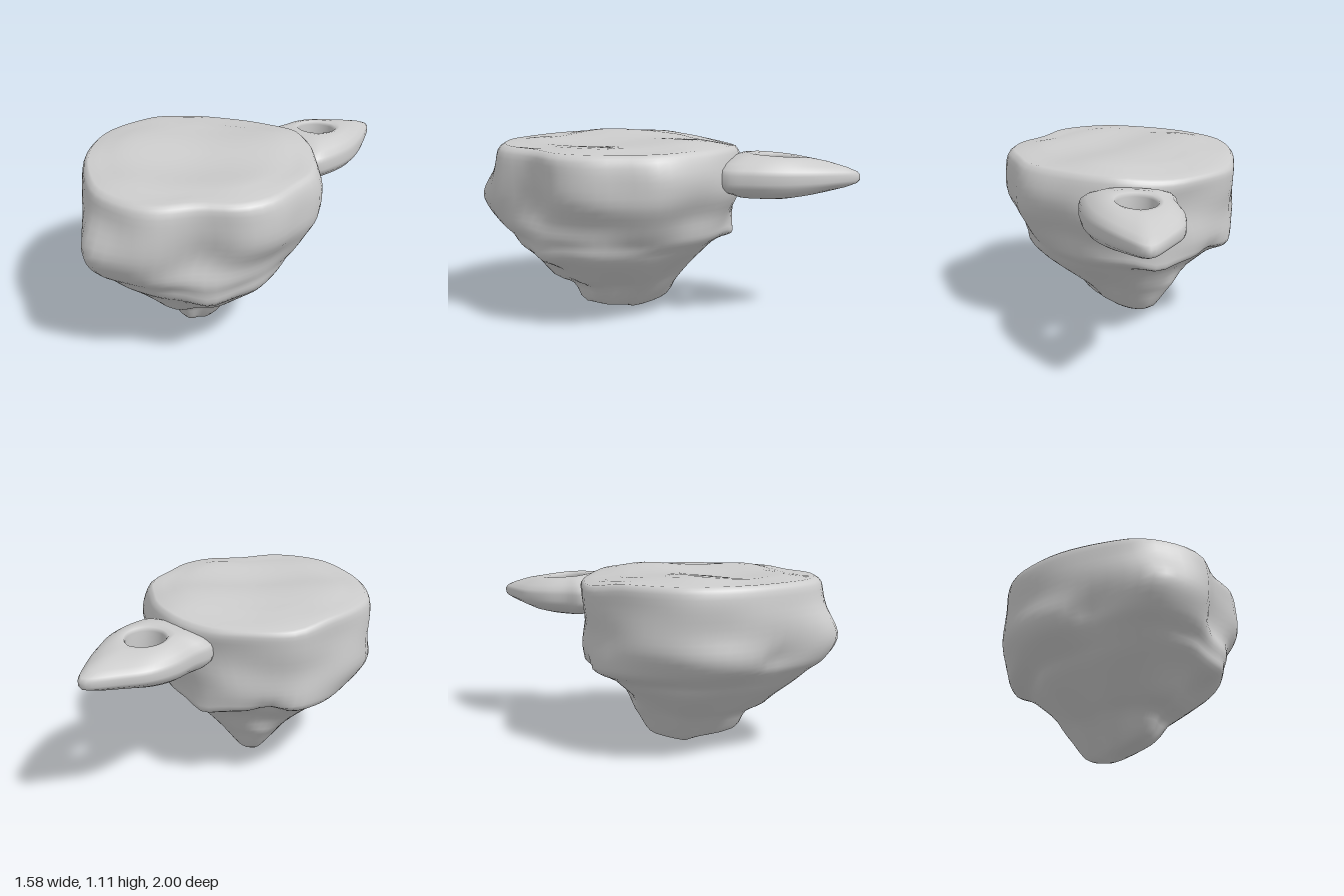
import * as THREE from 'three';

const { smoothstep, clamp, lerp, mapLinear } = THREE.MathUtils;
const v3 = (p) => new THREE.Vector3(...p);

// Rim of the island seen from above, as [x, z]
const RIM = [
  [0.15, -0.5], [0.4, -0.38], [0.54, -0.2], [0.61, 0], [0.65, 0.15], [0.655, 0.28], [0.59, 0.45],
  [0.51, 0.64], [0.36, 0.77], [0.12, 0.82], [-0.1, 0.9], [-0.3, 0.88], [-0.47, 0.8],
  [-0.59, 0.66], [-0.72, 0.42], [-0.77, 0.2], [-0.76, 0], [-0.66, -0.2],
  [-0.5, -0.38], [-0.33, -0.5], [0, -0.52],
];

// Extents of the rock at each height: [y, xMin, xMax, zMin, zMax]
const ROWS = [
  [0.0, -0.07, -0.07, 0.13, 0.13],
  [0.03, -0.12, 0.0, 0.02, 0.22],
  [0.08, -0.17, 0.07, -0.1, 0.45],
  [0.2, -0.28, 0.18, -0.17, 0.52],
  [0.27, -0.37, 0.26, -0.22, 0.65],
  [0.4, -0.54, 0.42, -0.31, 0.77],
  [0.47, -0.6, 0.48, -0.38, 0.84],
  [0.53, -0.68, 0.52, -0.49, 0.86],
  [0.59, -0.74, 0.55, -0.5, 0.89],
  [0.68, -0.78, 0.59, -0.5, 0.89],
  [0.8, -0.78, 0.66, -0.5, 0.9],
  [0.93, -0.78, 0.67, -0.51, 0.91],
  [1.04, -0.77, 0.64, -0.52, 0.92],
  [1.08, -0.74, 0.6, -0.5, 0.88],
];

// Lobes and dents: centre, radius, push direction
const LOBES = [
  [[-0.5, 0.74, 0.78], 0.2, [-0.02, 0, 0.15]],
  [[-0.17, 0.78, 0.9], 0.24, [0, 0, 0.09]],
  [[0.13, 0.46, 0.76], 0.12, [0.02, -0.03, 0.05]],
  [[-0.15, 0.36, 0.7], 0.13, [0, 0, -0.03]],
  [[0.14, 0.75, 0.82], 0.12, [0, 0, -0.02]],
  [[-0.64, 0.64, 0.55], 0.08, [0.03, 0, -0.02]],
  [[0.2, 0.54, -0.45], 0.11, [0.01, -0.04, -0.02]],
  [[0.1, 0.38, -0.28], 0.14, [-0.02, 0, 0.04]],
  [[-0.2, 0.5, -0.45], 0.09, [0, 0.02, 0.07]],
  [[-0.17, 0.36, -0.25], 0.1, [0, 0, 0.05]],
].map(([c, r, d]) => ({ c: v3(c), r, d: v3(d) }));

function rockPoint(p) {
  const src = p.clone();
  for (const { c, r, d } of LOBES) p.addScaledVector(d, Math.exp(-src.distanceToSquared(c) / (r * r)));
  // gentle weathering, fading toward the tip and rim
  const a = Math.atan2(src.z - 0.2, src.x + 0.06);
  const w = 0.009 * Math.sin(Math.PI * clamp(src.y / 1.08, 0, 1));
  const n = Math.sin(a * 7 + src.y * 9) + Math.sin(a * 4 - src.y * 17);
  p.x += Math.cos(a) * n * w;
  p.z += Math.sin(a) * n * w;
  // the rim dips a little at the back
  p.y -= 0.035 * smoothstep(-src.z, 0.3, 0.52) * smoothstep(src.y, 0.9, 1.08);
  return p;
}

// Rows of points, each a closed ring of seg points, joined into a skin
function ringSkin(pos, seg, rows, closed) {
  const index = [];
  for (let j = 0; j < (closed ? rows : rows - 1); j++) {
    for (let i = 0; i < seg; i++) {
      const n = (i + 1) % seg, up = ((j + 1) % rows) * seg;
      const a = j * seg + i, b = j * seg + n, c = up + i, d = up + n;
      index.push(a, c, b, b, c, d);
    }
  }
  const g = new THREE.BufferGeometry();
  g.setAttribute('position', new THREE.Float32BufferAttribute(pos, 3));
  g.setIndex(index);
  g.computeVertexNormals();
  return g;
}

function islandGeometry() {
  const SEG = 64, SUB = 3, CAP = 10;
  const rim = new THREE.CatmullRomCurve3(RIM.map(([x, z]) => v3([x, 0, z])), true).getSpacedPoints(SEG).slice(0, SEG);
  const curve = (i, j) => new THREE.CatmullRomCurve3(ROWS.map((r) => v3([r[0], r[i], r[j]])), false, 'catmullrom', 0.5);
  const cx = curve(1, 2), cz = curve(3, 4);
  const pos = [];
  const steps = (ROWS.length - 1) * SUB;

  // rock sides, from the tip up to the rim
  for (let j = 0; j <= steps; j++) {
    const X = cx.getPoint(j / steps), Z = cz.getPoint(j / steps);
    for (const q of rim) {
      const x = mapLinear(q.x, -0.77, 0.66, X.y, X.z);
      const z = mapLinear(q.z, -0.52, 0.9, Z.y, Z.z);
      const p = rockPoint(v3([x, X.x, z]));
      pos.push(p.x, p.y, p.z);
    }
  }
  // rolling ground, in rings toward the middle
  const edge = pos.slice(-SEG * 3);
  for (let k = 1; k <= CAP; k++) {
    const s = 1 - k / CAP;
    for (let i = 0; i < SEG; i++) {
      const x = lerp(-0.06, edge[i * 3], s), z = lerp(0.19, edge[i * 3 + 2], s);
      const wave = 0.009 * Math.sin(x * 7.5 - 1) + 0.01 * Math.cos(z * 9 + x * 2);
      const y = lerp(edge[i * 3 + 1], 1.092, Math.min(1, k / 3));
      pos.push(x, y + wave * Math.min(1, k / 2) - z * 0.012, z);
    }
  }
  return ringSkin(pos, SEG, steps + 1 + CAP, false);
}

// Pointed ledge with a round hole: a lens-shaped section swept around the hole,
// thick in the middle and thinning toward its edge and tip.
// The outline runs clockwise seen from above.
const LEDGE = [
  [0.25, -0.34], [0.12, -0.49], [0.2, -0.61], [0.28, -0.75], [0.4, -0.87], [0.57, -0.945], [0.73, -1],
  [0.765, -0.995], [0.782, -0.96], [0.785, -0.85], [0.775, -0.65], [0.74, -0.47], [0.66, -0.3],
  [0.55, -0.17], [0.4, -0.2],
];
// Section as [0 at outer edge to 1 at hole, height], from the lower edge over the top
const SECTION = [
  [0.04, -0.4], [0, -0.18], [0, 0.18], [0.04, 0.4], [0.2, 0.65], [0.5, 0.9], [0.8, 1], [0.95, 0.95], [1, 0.8],
  [0.98, 0], [1, -0.8], [0.95, -0.95], [0.8, -1], [0.5, -0.9], [0.2, -0.65],
];

function ledgeGeometry() {
  const SEG = 72, HOLE = { x: 0.49, z: -0.585, r: 0.115 };
  const outline = new THREE.CatmullRomCurve3(LEDGE.map(([x, z]) => v3([x, 0, z])), true).getSpacedPoints(SEG).slice(0, SEG);
  const pos = [];
  for (const [s, h] of SECTION) {
    for (const q of outline) {
      const a = Math.atan2(q.z - HOLE.z, q.x - HOLE.x);
      const x = lerp(q.x, HOLE.x + Math.cos(a) * HOLE.r, s);
      const z = lerp(q.z, HOLE.z + Math.sin(a) * HOLE.r, s);
      const t = clamp((-z - 0.3) / 0.7, 0, 1);
      pos.push(x, 0.905 - 0.01 * t + h * 0.135 * (1 - 0.4 * Math.pow(t, 1.6)), z);
    }
  }
  return ringSkin(pos, SEG, SECTION.length, true);
}

export function createModel() {
  const group = new THREE.Group();
  group.name = 'floatingIsland';
  const add = (name, geometry) => {
    const mesh = new THREE.Mesh(geometry, new THREE.MeshStandardMaterial({ color: 0xcccccc }));
    mesh.name = name;
    group.add(mesh);
  };
  add('islandRock', islandGeometry());
  add('piercedLedge', ledgeGeometry());
  return group;
}
